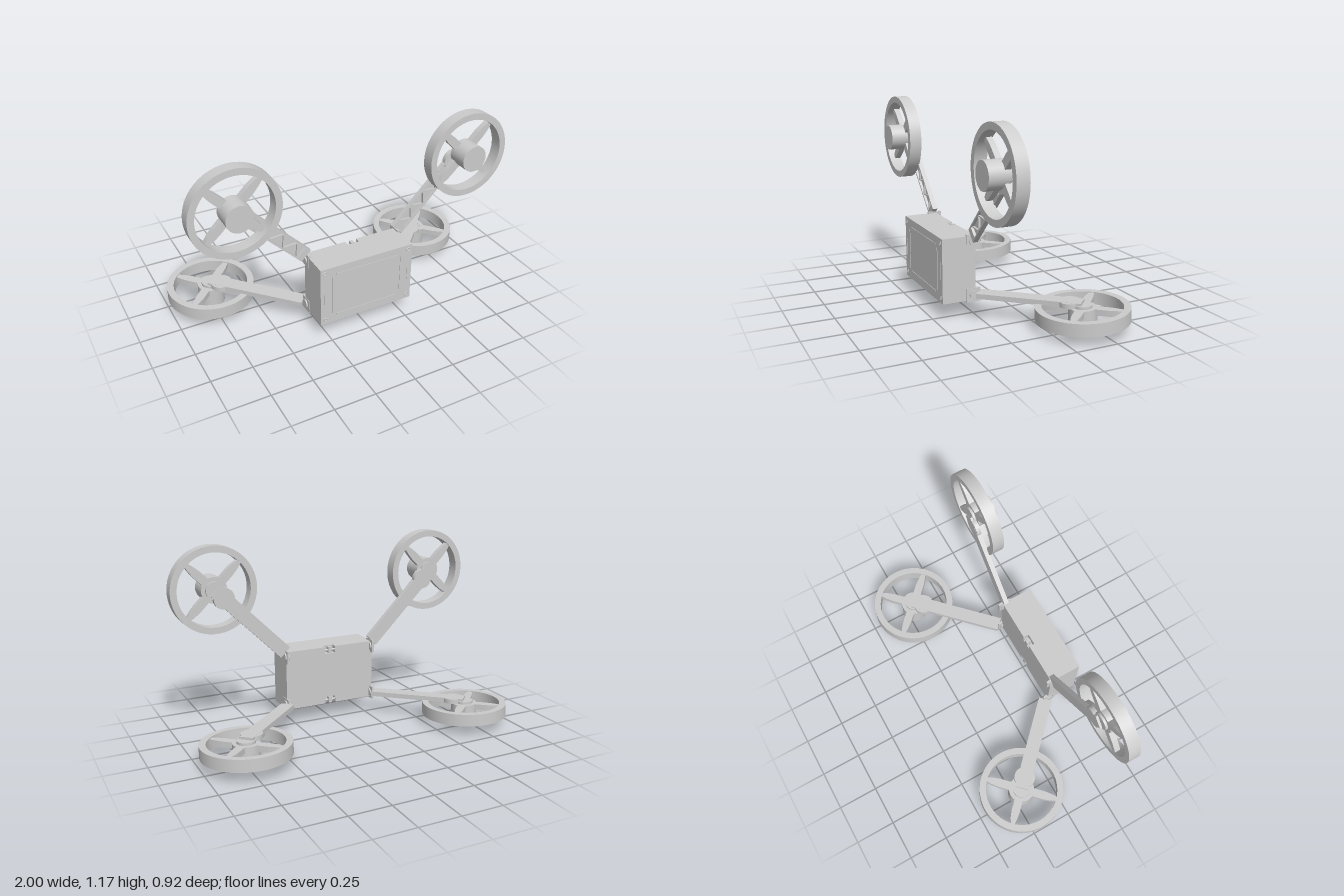
import * as THREE from 'three';
import { toCreasedNormals } from 'three/addons/utils/BufferGeometryUtils.js';

const grey = new THREE.MeshStandardMaterial({ color: 0xcccccc });

function add(parent, name, geometry, x = 0, y = 0, z = 0) {
  const mesh = new THREE.Mesh(geometry, grey);
  mesh.name = name;
  mesh.position.set(x, y, z);
  parent.add(mesh);
  return mesh;
}
const box = (w, h, d) => new THREE.BoxGeometry(w, h, d);
const cyl = (r, h, n = 40) => new THREE.CylinderGeometry(r, r, h, n);

// Rotor unit: x runs outward along the arm, y towards the motor, origin above the motor axis
function rotorUnit() {
  const unit = new THREE.Group();
  unit.name = 'rotorUnit';

  // Channel-shaped arm, open on the motor side, braced with zigzag ribs
  const len = 0.608, width = 0.086;
  add(unit, 'armPlate', box(len, 0.014, width), -len / 2, 0.007, 0);
  for (const s of [-1, 1]) add(unit, 'armWall', box(len, 0.03, 0.01), -len / 2, 0.015, s * (width / 2 - 0.005));
  for (const x of [-0.005, -len + 0.02]) add(unit, 'armEndWall', box(x < -0.1 ? 0.04 : 0.01, 0.03, width), x, 0.015, 0);
  const bays = 8, pitch = 0.46 / bays;
  for (let i = 0; i < bays; i++) {
    const rib = add(unit, 'armRib', box(Math.hypot(pitch, 0.066), 0.013, 0.007), -0.56 + (i + 0.5) * pitch, 0.0195, 0);
    rib.rotation.y = (i % 2 ? 1 : -1) * Math.atan2(0.066, pitch);
  }
  add(unit, 'armBoss', cyl(0.065, 0.028), -0.072, 0.015, 0);

  // Ring guard with a square section
  const profile = [[0.225, 0.025], [0.265, 0.025], [0.265, 0.1], [0.225, 0.1], [0.225, 0.025]];
  const ring = new THREE.LatheGeometry(profile.map(p => new THREE.Vector2(...p)), 72);
  add(unit, 'ringGuard', toCreasedNormals(ring, 0.6));

  // Motor
  add(unit, 'motor', cyl(0.08, 0.126), 0, 0.093, 0);
  add(unit, 'motorMount', cyl(0.055, 0.02), 0, 0.025, 0);

  // Four tapered struts between motor and ring
  const outline = new THREE.Shape();
  outline.moveTo(0.06, -0.026);
  outline.lineTo(0.14, -0.026);
  outline.quadraticCurveTo(0.2, -0.022, 0.232, -0.011);
  outline.lineTo(0.232, 0.011);
  outline.quadraticCurveTo(0.2, 0.022, 0.14, 0.026);
  outline.lineTo(0.06, 0.026);
  const strut = new THREE.ExtrudeGeometry(outline, { depth: 0.035, bevelEnabled: false });
  strut.rotateX(-Math.PI / 2);
  for (let i = 0; i < 4; i++) add(unit, 'strut', strut, 0, 0.03, 0).rotation.y = i * Math.PI / 2;
  return unit;
}

function place(unit, position, along, normal) {
  const a = along.normalize(), n = normal.normalize();
  unit.quaternion.setFromRotationMatrix(new THREE.Matrix4().makeBasis(a, n, a.clone().cross(n)));
  unit.position.copy(position);
  return unit;
}

function createBody() {
  const body = new THREE.Group();
  body.name = 'body';
  add(body, 'case', box(0.604, 0.38, 0.167), 0, 0.289, 0.3735);

  // Back panel, notched at the middle of its top and bottom edges
  const w = 0.302, h = 0.19, nw = 0.036, nd = 0.045;
  const panel = new THREE.Shape([[-w, -h], [-nw, -h], [-nw, -h + nd], [nw, -h + nd], [nw, -h], [w, -h],
    [w, h], [nw, h], [nw, h - nd], [-nw, h - nd], [-nw, h], [-w, h]].map(p => new THREE.Vector2(...p)));
  add(body, 'backPanel', new THREE.ExtrudeGeometry(panel, { depth: 0.035, bevelEnabled: false }), 0, 0.289, 0.255);

  // Latches in the notches
  for (const s of [-1, 1]) {
    const y = 0.289 + s * 0.168;
    add(body, 'latchTongue', box(0.022, 0.04, 0.03), 0, y, 0.268);
    add(body, 'latchPin', cyl(0.007, 0.076, 12), 0, y, 0.263).rotation.z = Math.PI / 2;
  }

  // Raised trim and corner screws on the front
  for (const s of [-1, 1]) {
    add(body, 'frontTrim', box(0.4, 0.008, 0.004), 0, 0.289 + s * 0.14, 0.458);
    add(body, 'frontTrim', box(0.008, 0.25, 0.004), s * 0.225, 0.289, 0.458);
    add(body, 'frontTrim', box(0.006, 0.1, 0.004), s * 0.275, 0.289, 0.458);
    for (const t of [-1, 1])
      add(body, 'screw', new THREE.TorusGeometry(0.01, 0.003, 8, 20), s * 0.275, 0.289 + t * 0.16, 0.457);
  }

  // Hinge lugs and pins at the back corners
  for (const sx of [-1, 1]) for (const sy of [-1, 1]) {
    const y = 0.289 + sy * 0.159;
    add(body, 'hingeLug', box(0.014, 0.082, 0.085), sx * 0.298, y, 0.268);
    add(body, 'hingePin', cyl(0.028, 0.03, 24), sx * 0.298, y, 0.265).rotation.z = Math.PI / 2;
  }
  return body;
}

export function createModel() {
  const model = new THREE.Group();
  model.name = 'foldingDrone';
  model.add(createBody());
  const V = (x, y, z) => new THREE.Vector3(x, y, z);
  for (const s of [-1, 1]) {
    // Upper arms stand in the vertical plane, lower arms reach backwards with a slight rise
    const upper = place(rotorUnit(), V(s * 0.735, 0.91, 0.255), V(s, 1, 0), V(0, 0, 1));
    upper.name = 'upperRotorUnit';
    const lower = place(rotorUnit(), V(s * 0.735, 0.16, -0.193), V(s, 0.032, -1), V(0, -1, -0.032));
    lower.name = 'lowerRotorUnit';
    model.add(upper, lower);
  }
  return model;
}
